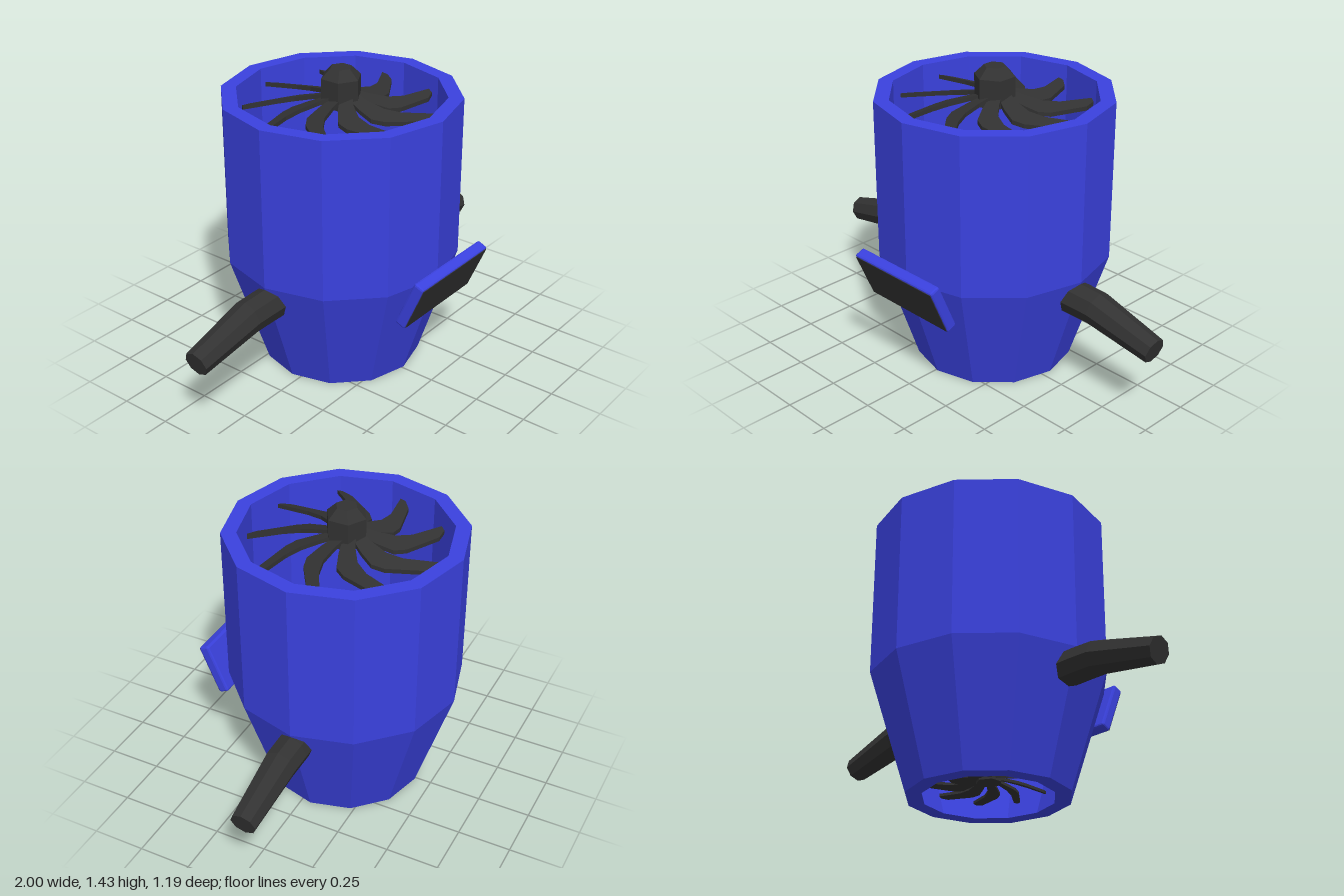
import * as THREE from 'three';
import { RoundedBoxGeometry } from 'three/addons/geometries/RoundedBoxGeometry.js';

const CX = 0.01, CZ = -0.045; // axis of the housing

function material(name, color) {
  const m = new THREE.MeshStandardMaterial({ color, flatShading: true });
  m.name = name;
  return m;
}

function lathe(points, sides) {
  return new THREE.LatheGeometry(points.map(([r, y]) => new THREE.Vector2(r, y)), sides);
}

// Swept blade pointing to -z, drooping outwards and pitched across its width
function bladeGeometry() {
  const outline = [[-0.025, 0.05], [0.04, 0.05], [0.085, 0.11], [0.125, 0.18], [0.12, 0.24],
    [0.05, 0.41], [0.01, 0.445], [-0.015, 0.44], [0.035, 0.29], [0.04, 0.21], [0.015, 0.13]];
  const shape = new THREE.Shape(outline.map(([x, y]) => new THREE.Vector2(x, y)));
  const geo = new THREE.ExtrudeGeometry(shape, { depth: 0.02, bevelEnabled: false });
  geo.rotateX(-Math.PI / 2);
  const p = geo.attributes.position;
  for (let i = 0; i < p.count; i++) {
    const x = p.getX(i), r = -p.getZ(i);
    p.setY(i, p.getY(i) - 0.14 * r - 0.3 * (x - 0.03));
  }
  geo.computeVertexNormals();
  return geo;
}

// Octagonal arm: cylinder rings moved onto a bent centre line
function armGeometry() {
  const rings = [ // x, y, radius, tilt of the ring
    [0.4, 0.46, 0.08, 0], [0.56, 0.46, 0.08, 0],
    [0.66, 0.457, 0.079, -0.12], [0.985, 0.382, 0.061, -0.25],
  ];
  const geo = new THREE.CylinderGeometry(1, 1, 3, 8, 3);
  const p = geo.attributes.position;
  for (let i = 0; i < p.count; i++) {
    const [cx, cy, r, tilt] = rings[Math.round(p.getY(i) + 1.5)];
    const up = -p.getX(i) * r;
    p.setXYZ(i, cx - Math.sin(tilt) * up, cy + Math.cos(tilt) * up, CZ + p.getZ(i) * r);
  }
  geo.computeVertexNormals();
  return geo;
}

export function createModel() {
  const blue = material('blue casing', 0x3a41de);
  const dark = material('dark rubber', 0x323232);
  const model = new THREE.Group();
  model.name = 'ductedFan';

  const add = (parent, name, geo, mat) => {
    const mesh = new THREE.Mesh(geo, mat);
    mesh.name = name;
    parent.add(mesh);
    return mesh;
  };

  // Open twelve-sided duct with inner wall
  const housing = add(model, 'housing', lathe([[0.3, 0], [0.375, 0], [0.55, 0.55], [0.55, 1.31],
    [0.48, 1.31], [0.48, 0.55], [0.3, 0]], 12), blue);
  housing.position.set(CX, 0, CZ);

  // Intake fan at the top, smaller exhaust fan at the bottom
  const hubGeo = lathe([[0, -0.03], [0.095, -0.03], [0.095, 0.1], [0.05, 0.145], [0, 0.145]], 6);
  const bladeGeo = bladeGeometry();
  for (const [name, y, scale] of [['intakeFan', 1.285, 1], ['exhaustFan', 0.09, 0.62]]) {
    const fan = new THREE.Group();
    fan.name = name;
    add(fan, 'hub', hubGeo, dark);
    for (let i = 0; i < 9; i++) {
      add(fan, 'blade', bladeGeo, dark).rotation.y = i * Math.PI * 2 / 9;
    }
    fan.position.set(CX, y, CZ);
    fan.scale.setScalar(scale);
    model.add(fan);
  }

  // Side handles
  const armGeo = armGeometry();
  add(model, 'leftHandle', armGeo, dark);
  const mirrored = armGeo.clone().scale(-1, 1, 1);
  const idx = mirrored.index.array;
  for (let i = 0; i < idx.length; i += 3) [idx[i], idx[i + 1]] = [idx[i + 1], idx[i]];
  mirrored.computeVertexNormals();
  add(model, 'rightHandle', mirrored, dark);

  // Tilted display on the front
  const display = new THREE.Group();
  display.name = 'display';
  add(display, 'displayFrame', new RoundedBoxGeometry(0.51, 0.252, 0.054, 1, 0.01), blue);
  const screen = add(display, 'screen', new THREE.BoxGeometry(0.495, 0.235, 0.004), dark);
  screen.position.z = 0.027;
  display.position.set(0.02, 0.521, 0.524);
  display.rotation.x = 0.405;
  model.add(display);

  return model;
}
